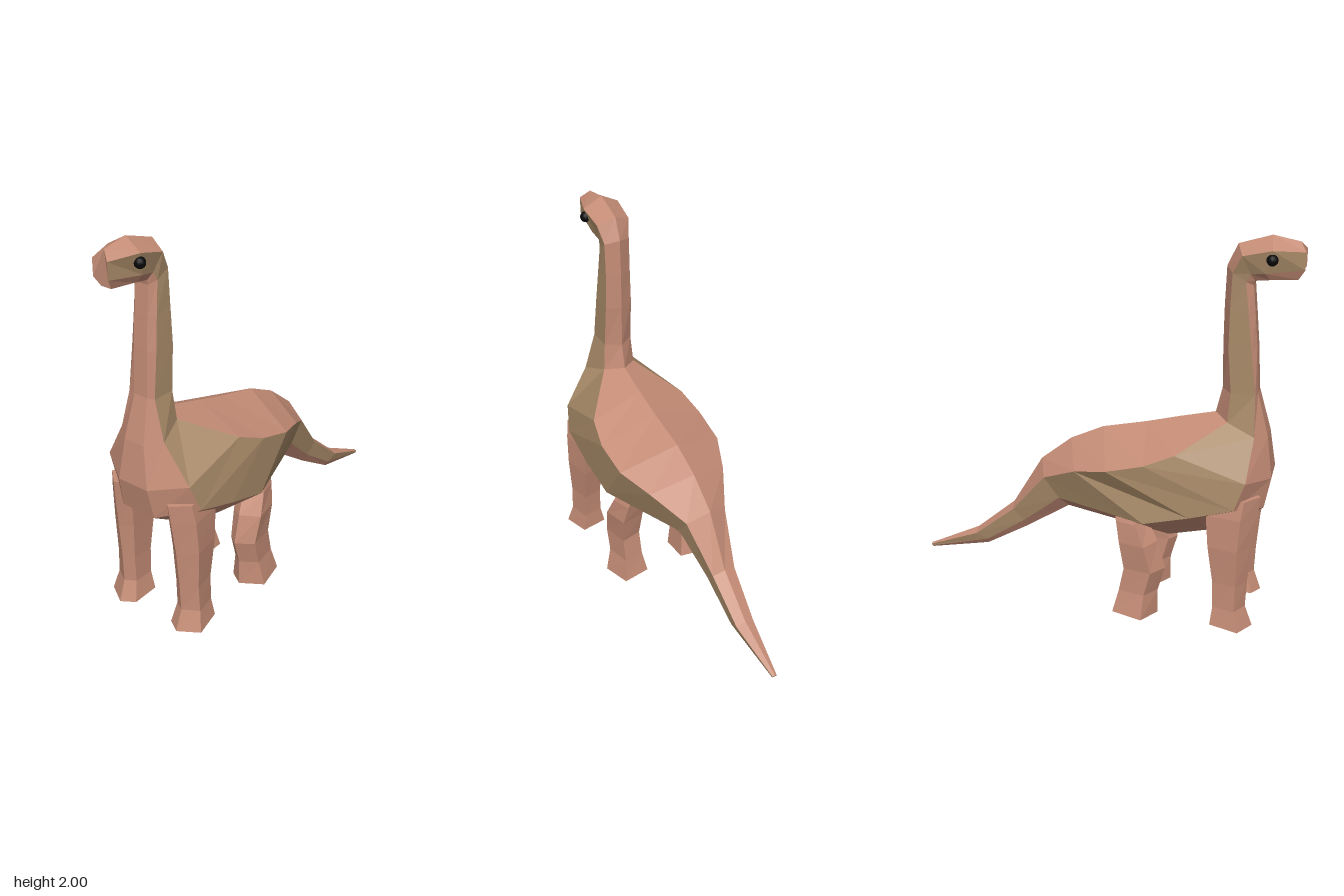
import * as THREE from 'three';

const mat = (color) => new THREE.MeshStandardMaterial({ color, flatShading: true });

// Faceted skin over a row of rings; pick(i) chooses which panels around the ring are kept.
function loft(rings, pick = () => true, caps = true) {
  const out = [];
  const n = rings[0].length;
  const tri = (...pts) => pts.forEach((p) => out.push(...p));
  for (let s = 0; s < rings.length - 1; s++) {
    const a = rings[s], b = rings[s + 1];
    for (let i = 0; i < n; i++) {
      if (!pick(i)) continue;
      const j = (i + 1) % n;
      tri(a[i], a[j], b[j]);
      tri(a[i], b[j], b[i]);
    }
  }
  if (caps) {
    const a = rings[0], b = rings[rings.length - 1];
    for (let i = 1; i < n - 1; i++) {
      tri(a[0], a[i + 1], a[i]);
      tri(b[0], b[i], b[i + 1]);
    }
  }
  const g = new THREE.BufferGeometry();
  g.setAttribute('position', new THREE.Float32BufferAttribute(out, 3));
  g.computeVertexNormals();
  return g;
}

// Stations from snout to tail tip:
// [centre z, ridge x,y, upper edge x,y,half width, lower edge x,y,half width, underside x,y,half width]
const HEAD_NECK = [
  [-0.04, -0.95, 1.975, -0.98, 1.935, 0.045, -0.98, 1.85, 0.045, -0.95, 1.8, 0.03],
  [-0.04, -0.82, 2.0, -0.83, 1.945, 0.098, -0.8, 1.83, 0.075, -0.82, 1.795, 0.05],
  [-0.035, -0.66, 1.95, -0.69, 1.91, 0.09, -0.73, 1.82, 0.065, -0.75, 1.785, 0.045],
  [-0.03, -0.61, 1.84, -0.645, 1.82, 0.07, -0.71, 1.78, 0.065, -0.745, 1.76, 0.04],
  [-0.028, -0.605, 1.64, -0.64, 1.64, 0.07, -0.73, 1.62, 0.07, -0.76, 1.61, 0.04],
  [-0.025, -0.605, 1.45, -0.64, 1.45, 0.075, -0.75, 1.45, 0.075, -0.775, 1.45, 0.04],
  [-0.023, -0.61, 1.22, -0.66, 1.22, 0.078, -0.78, 1.22, 0.08, -0.79, 1.22, 0.04],
];
const BODY_TAIL = [
  [-0.02, -0.58, 1.09, -0.65, 1.07, 0.09, -0.79, 1.02, 0.135, -0.85, 1.0, 0.06],
  [-0.012, -0.4, 1.045, -0.42, 0.94, 0.27, -0.77, 0.82, 0.26, -0.88, 0.79, 0.09],
  [-0.01, -0.23, 1.0, -0.27, 0.88, 0.3, -0.72, 0.68, 0.28, -0.85, 0.63, 0.1],
  [-0.01, 0.0, 0.95, -0.08, 0.83, 0.295, -0.5, 0.62, 0.29, -0.6, 0.48, 0.1],
  [-0.01, 0.17, 0.87, 0.1, 0.78, 0.22, -0.27, 0.56, 0.285, -0.37, 0.42, 0.09],
  [-0.01, 0.33, 0.74, 0.29, 0.68, 0.115, 0.21, 0.57, 0.11, 0.17, 0.51, 0.06],
  [-0.005, 0.49, 0.47, 0.48, 0.45, 0.065, 0.42, 0.39, 0.06, 0.42, 0.34, 0.03],
  [0, 0.7, 0.29, 0.7, 0.27, 0.05, 0.64, 0.24, 0.045, 0.64, 0.21, 0.025],
  [0, 0.98, 0.155, 0.98, 0.15, 0.012, 0.975, 0.142, 0.012, 0.97, 0.135, 0.006],
];

const bodyRing = ([c, tx, ty, ux, uy, uw, lx, ly, lw, bx, by, bw]) => [
  [tx, ty, c],
  [ux, uy, c + uw], [lx, ly, c + lw], [bx, by, c + bw],
  [bx, by, c - bw], [lx, ly, c - lw], [ux, uy, c - uw],
];

// Five-sided leg section as fractions of its x and z extents (outer side at z = 1)
const LEG_SECTION = [[0.2, 0], [0.88, 0], [1, 0.8], [0.3, 1], [0, 0.4]];

// Rows from hip to sole: [y, x min, x max, inner z, outer z]
const FRONT_LEG = [
  [0.72, -0.84, -0.6, 0.12, 0.26],
  [0.62, -0.83, -0.58, 0.12, 0.275],
  [0.45, -0.81, -0.595, 0.13, 0.28],
  [0.25, -0.795, -0.625, 0.14, 0.27],
  [0.11, -0.79, -0.63, 0.14, 0.275],
  [0.015, -0.83, -0.62, 0.12, 0.3],
];
const REAR_LEG = [
  [0.62, -0.25, -0.1, 0.09, 0.22],
  [0.53, -0.27, -0.12, 0.1, 0.26],
  [0.42, -0.33, -0.14, 0.12, 0.28],
  [0.27, -0.37, -0.165, 0.13, 0.27],
  [0.14, -0.335, -0.14, 0.13, 0.27],
  [0.02, -0.335, -0.11, 0.11, 0.3],
];

function leg(rows, side, material, name) {
  const rings = rows.map(([y, x0, x1, z0, z1], r) => {
    const ring = LEG_SECTION.map(([u, v]) => {
      const x = x0 + (x1 - x0) * u;
      // the sole tips slightly towards its lower corner
      const drop = r === rows.length - 1 ? 0.015 * (1 - u) : 0;
      return [x, y - drop, side * (z0 + (z1 - z0) * v) - 0.005];
    });
    return side > 0 ? ring : ring.reverse();
  });
  const mesh = new THREE.Mesh(loft(rings), material);
  mesh.name = name;
  return mesh;
}

export function createModel() {
  const group = new THREE.Group();
  group.name = 'longNeckedDinosaur';
  const hide = mat(0xc48c76);
  const flank = mat(0xa88a68);
  const black = new THREE.MeshStandardMaterial({ color: 0x080808 });
  const add = (geometry, material, name) => {
    const mesh = new THREE.Mesh(geometry, material);
    mesh.name = name;
    group.add(mesh);
    return mesh;
  };

  // Head, neck, trunk and tail: back and belly in one colour, side panels in another
  const rings = [...HEAD_NECK, ...BODY_TAIL].map(bodyRing);
  const isSide = (i) => i === 1 || i === 5;
  add(loft(rings, (i) => !isSide(i)), hide, 'backAndBelly');
  add(loft(rings, isSide, false), flank, 'sidePanels');

  // Legs and eyes, mirrored; the animal's head points to -x
  for (const side of [1, -1]) {
    const label = side > 0 ? 'Near' : 'Far';
    group.add(leg(FRONT_LEG, side, hide, 'frontLeg' + label));
    group.add(leg(REAR_LEG, side, hide, 'rearLeg' + label));
    add(new THREE.SphereGeometry(0.028, 12, 8), black, 'eye' + label)
      .position.set(-0.83, 1.9, -0.04 + side * 0.09);
  }
  return group;
}
